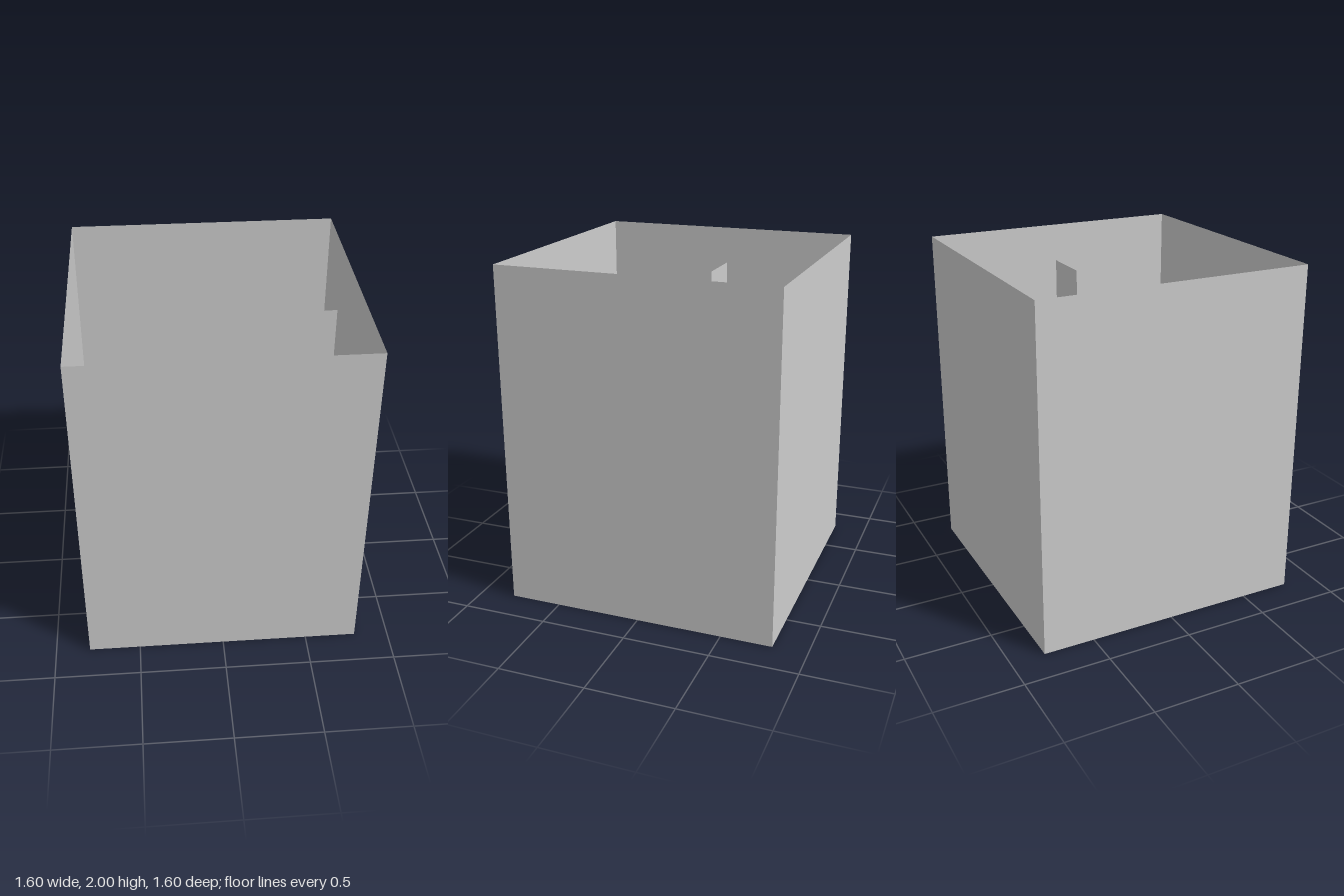
import * as THREE from 'three';

export function createModel() {
  const group = new THREE.Group();
  const material = new THREE.MeshStandardMaterial({
    color: 0xcccccc, flatShading: true, side: THREE.DoubleSide,
  });
  const size = 1.6, height = 2;

  // Four thin outer walls, open at the top and the bottom
  const wallGeometry = new THREE.PlaneGeometry(size, height);
  ['frontWall', 'leftWall', 'backWall', 'rightWall'].forEach((name, i) => {
    const angle = i * Math.PI / 2;
    const wall = new THREE.Mesh(wallGeometry, material);
    wall.name = name;
    wall.rotation.y = angle;
    wall.position.set(Math.sin(angle) * size / 2, height / 2, Math.cos(angle) * size / 2);
    group.add(wall);
  });

  // Pair of thin upright panels standing inside
  const bottom = 0.46, top = 1.79;
  const panelGeometry = new THREE.PlaneGeometry(0.31, top - bottom);
  for (const side of [1, -1]) {
    const panel = new THREE.Mesh(panelGeometry, material);
    panel.name = side > 0 ? 'leftInnerPanel' : 'rightInnerPanel';
    panel.position.set(side * 0.56, (top + bottom) / 2, -0.02);
    group.add(panel);
  }
  return group;
}
